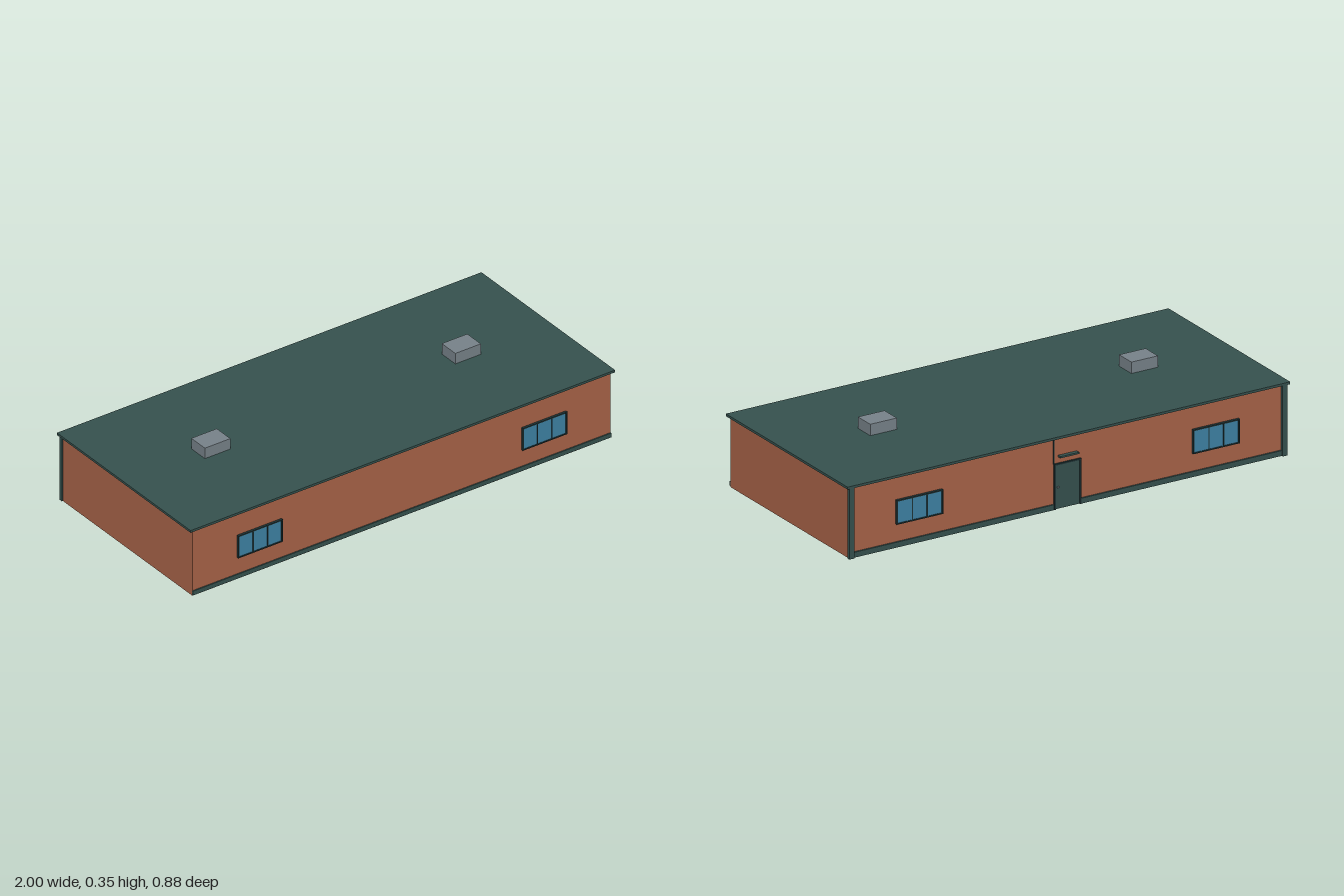
import * as THREE from 'three';

const mat = (name, color) => {
  const m = new THREE.MeshStandardMaterial({ color });
  m.name = name;
  return m;
};

export function createModel() {
  const brick = mat('brick', 0xaa6449);
  const teal = mat('darkTeal', 0x36524f);
  const dark = mat('darkFrame', 0x1f3436);
  const glass = mat('glass', 0x3f83a6);
  const metal = mat('ventGrey', 0x78838a);
  const concrete = mat('concrete', 0x8b8979);
  const house = new THREE.Group();
  house.name = 'longHouse';

  // Box given by its extents on each axis
  const box = (parent, name, m, [x0, x1], [y0, y1], [z0, z1]) => {
    const mesh = new THREE.Mesh(new THREE.BoxGeometry(x1 - x0, y1 - y0, z1 - z0), m);
    mesh.position.set((x0 + x1) / 2, (y0 + y1) / 2, (z0 + z1) / 2);
    mesh.name = name;
    parent.add(mesh);
    return mesh;
  };

  // Walls, floor and roof
  box(house, 'walls', brick, [-0.985, 0.985], [0.002, 0.296], [-0.422, 0.43]);
  box(house, 'floor', concrete, [-0.98, 0.98], [0, 0.003], [-0.418, 0.426]);
  box(house, 'roof', teal, [-1, 1], [0.295, 0.305], [-0.437, 0.439]);

  // Base trim, interrupted at the back by the door
  box(house, 'frontBaseTrim', teal, [-0.985, 0.985], [0.006, 0.025], [0.428, 0.435]);
  for (const s of [-1, 1]) {
    const span = s < 0 ? [-0.97, -0.062] : [0.062, 0.97];
    box(house, 'backBaseTrim', teal, span, [0.003, 0.025], [-0.429, -0.42]);
    // Rear corner posts
    const post = s < 0 ? [-0.99, -0.968] : [0.968, 0.99];
    box(house, 'cornerPost', teal, post, [0.002, 0.296], [-0.434, -0.419]);
    // Roof vents
    const vent = new THREE.Group();
    vent.name = 'roofVent';
    vent.position.x = s * 0.59;
    box(vent, 'ventBody', metal, [-0.06, 0.06], [0.304, 0.352], [-0.043, 0.046]);
    house.add(vent);
  }

  // Three-pane window, built facing +z with its back at z = 0
  const makeWindow = () => {
    const g = new THREE.Group();
    g.name = 'window';
    const w = 0.105, h = 0.05, t = 0.005;
    box(g, 'windowBacking', dark, [-w, w], [-h, h], [-0.002, 0.004]);
    for (const s of [-1, 1]) {
      box(g, 'frameRail', dark, [-w, w], s < 0 ? [-h, -h + t] : [h - t, h], [0, 0.01]);
      box(g, 'frameStile', dark, s < 0 ? [-w, -w + t] : [w - t, w], [-h, h], [0, 0.01]);
      box(g, 'mullion', dark, [s * 0.034 - 0.002, s * 0.034 + 0.002], [-h, h], [0, 0.009]);
    }
    for (const i of [-1, 0, 1])
      box(g, 'pane', glass, [i * 0.067 - 0.031, i * 0.067 + 0.031], [-h + t, h - t], [0.002, 0.007]);
    return g;
  };
  for (const x of [-0.67, 0.67]) {
    const front = makeWindow();
    front.position.set(x, 0.149, 0.43);
    const back = makeWindow();
    back.position.set(x, 0.149, -0.424);
    back.rotation.y = Math.PI;
    house.add(front, back);
  }

  // Back door with its frame, seam, handle and lintel
  const door = new THREE.Group();
  door.name = 'backDoor';
  box(door, 'doorLeaf', teal, [-0.055, 0.055], [0.004, 0.185], [-0.426, -0.42]);
  box(door, 'doorJambRight', dark, [-0.061, -0.055], [0.003, 0.19], [-0.43, -0.42]);
  box(door, 'doorJambLeft', dark, [0.055, 0.061], [0.003, 0.19], [-0.43, -0.42]);
  box(door, 'doorHead', dark, [-0.061, 0.061], [0.185, 0.191], [-0.43, -0.42]);
  box(door, 'wallSeam', dark, [0.058, 0.062], [0.19, 0.296], [-0.426, -0.42]);
  box(door, 'doorHandle', metal, [0.038, 0.046], [0.09, 0.096], [-0.431, -0.425]);
  box(door, 'doorCanopy', teal, [-0.045, 0.04], [0.216, 0.223], [-0.44, -0.42]);
  house.add(door);

  return house;
}
